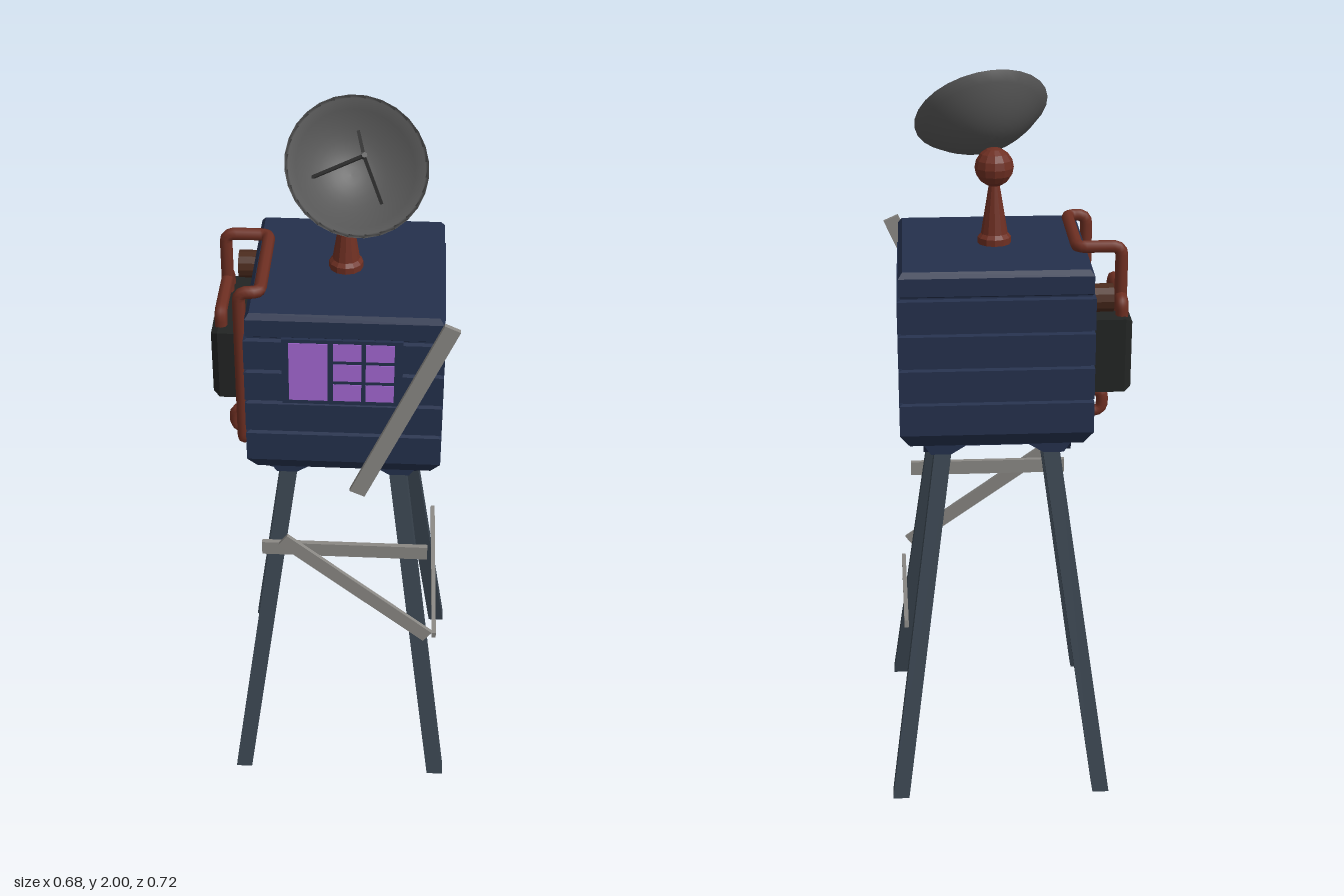
import * as THREE from 'three';

const V = (x, y, z) => new THREE.Vector3(x, y, z);
const mat = (color, flatShading = true, side = THREE.FrontSide) =>
  new THREE.MeshStandardMaterial({ color, flatShading, side });
const navy = mat(0x24304c), steel = mat(0x3a4550), rust = mat(0x6e2f22, false), rustFlat = mat(0x6e2f22);
const black = mat(0x222423), brown = mat(0x4a2a1c), purple = mat(0xa368d2), wood = mat(0x8a8884);
const dishMat = mat(0x565656, false, THREE.DoubleSide), darkGrey = mat(0x3c3c3c), grille = mat(0x85898a);

export function createModel() {
  const root = new THREE.Group();
  const CX = 0.037;

  const add = (name, geo, material, pos = V(0, 0, 0), parent = root) => {
    const m = new THREE.Mesh(geo, material);
    m.name = name;
    m.position.copy(pos);
    parent.add(m);
    return m;
  };
  const group = (name, parent = root) => {
    const g = new THREE.Group();
    g.name = name;
    parent.add(g);
    return g;
  };
  // Square-section solid from a [halfWidth, y] profile
  const squareLathe = (profile, sx = 1, sz = 1) => {
    const pts = profile.map(([r, y]) => new THREE.Vector2(r * Math.SQRT2, y));
    return new THREE.LatheGeometry(pts, 4, Math.PI / 4).scale(sx, 1, sz);
  };
  // Bar of length |b - a| laid from a to b, with w across and t through
  const bar = (name, a, b, w, t, material, parent = root, up = V(0, 0, 1)) => {
    const y = b.clone().sub(a), len = y.length();
    y.normalize();
    const x = y.clone().cross(up).normalize(), z = x.clone().cross(y);
    const m = add(name, new THREE.BoxGeometry(w, len, t), material, a.clone().add(b).multiplyScalar(0.5), parent);
    m.quaternion.setFromRotationMatrix(new THREE.Matrix4().makeBasis(x, y, z));
    return m;
  };
  // Pipe through corner points, with the corners rounded
  const pipe = (name, pts, r, parent) => {
    const path = new THREE.CurvePath();
    let last = pts[0];
    for (let i = 1; i < pts.length - 1; i++) {
      const p = pts[i];
      const cut = (q) => p.clone().add(q.clone().sub(p).setLength(Math.min(0.025, p.distanceTo(q) * 0.45)));
      const a = cut(pts[i - 1]), b = cut(pts[i + 1]);
      path.add(new THREE.LineCurve3(last, a));
      path.add(new THREE.QuadraticBezierCurve3(a, p, b));
      last = b;
    }
    path.add(new THREE.LineCurve3(last, pts[pts.length - 1]));
    add(name, new THREE.TubeGeometry(path, 160, r, 8), rust, V(0, 0, 0), parent);
  };

  // Cabin: four plank rows with grooves, chamfered roof, tapered floor
  const profile = [[0, 1.045], [0.232, 1.045], [0.257, 1.085]];
  for (let i = 0; i < 4; i++) {
    const y = 1.085 + i * 0.096;
    profile.push([0.257, y], [0.257, y + 0.085], [0.247, y + 0.089], [0.247, y + 0.093]);
  }
  profile.push([0.252, 1.47], [0.252, 1.518], [0.241, 1.533], [0, 1.533]);
  add('cabin', squareLathe(profile, 1, 1.025), navy, V(CX, 0, -0.003));

  // Arched skirt panels under the cabin
  const skirt = group('skirt');
  skirt.position.set(CX - 0.004, 0, 0);
  const arch = new THREE.Shape([
    [-0.205, 1.05], [-0.2, 1.03], [-0.18, 1.0], [-0.125, 1.0], [-0.085, 1.025],
    [0.085, 1.025], [0.125, 1.0], [0.18, 1.0], [0.2, 1.03], [0.205, 1.05],
  ].map(([x, y]) => new THREE.Vector2(x, y)));
  for (let i = 0; i < 4; i++) {
    const g = new THREE.ExtrudeGeometry(arch, { depth: 0.03, bevelEnabled: false });
    add('skirtPanel', g.translate(0, 0, 0.17).rotateY(i * Math.PI / 2), navy, V(0, 0, 0), skirt);
  }

  // Splayed legs, sheared so that the feet stay square to the ground
  const legs = group('legs');
  for (const sx of [-1, 1]) for (const sz of [-1, 1]) {
    const g = new THREE.BoxGeometry(0.046, 1.05, 0.046).translate(0, 0.525, 0);
    const p = g.attributes.position;
    for (let i = 0; i < p.count; i++) {
      const y = p.getY(i);
      p.setX(i, p.getX(i) + sx * (0.285 - 0.138 * y) + 0.0325);
      p.setZ(i, p.getZ(i) + sz * (0.337 - 0.182 * y));
    }
    add('leg', g, steel, V(0, 0, 0), legs);
  }

  // Front window: frame, one tall pane and six small ones
  const win = group('window');
  add('windowFrame', new THREE.BoxGeometry(0.31, 0.196, 0.03), navy, V(0.033, 1.371, 0.248), win);
  add('tallPane', new THREE.BoxGeometry(0.1, 0.174, 0.01), purple, V(-0.054, 1.372, 0.26), win);
  for (let c = 0; c < 2; c++) for (let r = 0; r < 3; r++)
    add('smallPane', new THREE.BoxGeometry(0.073, 0.051, 0.01), purple, V(0.046 + c * 0.084, 1.311 + r * 0.0615, 0.26), win);

  // Side unit with a round grille
  const unit = group('sideUnit');
  const box = add('unitCase', squareLathe([[0, 0], [1, 0], [1, 0.095], [0.9, 0.113], [0, 0.113]], 0.102, 0.148), black, V(-0.212, 1.273, -0.048), unit);
  box.rotation.z = Math.PI / 2;
  add('grille', new THREE.CylinderGeometry(0.052, 0.052, 0.012, 16).rotateZ(Math.PI / 2), grille, V(-0.329, 1.275, -0.048), unit);
  for (let i = 0; i < 9; i++) {
    const a = i * Math.PI / 4, r = i < 8 ? 0.032 : 0;
    add('grilleHole', new THREE.CylinderGeometry(0.008, 0.008, 0.003, 8).rotateZ(Math.PI / 2), black,
      V(-0.335, 1.275 + r * Math.sin(a), -0.048 + r * Math.cos(a)), unit);
  }
  add('ventDrum', new THREE.CylinderGeometry(0.038, 0.038, 0.08, 12).rotateZ(Math.PI / 2), brown, V(-0.233, 1.43, -0.173), unit);

  // Pipework over the roof, down the side and under the floor
  const pipes = group('pipes');
  pipe('roofPipe', [
    V(-0.3, 1.35, -0.12), V(-0.3, 1.553, -0.12), V(-0.182, 1.553, -0.12), V(-0.182, 1.553, 0.178),
    V(-0.236, 1.553, 0.178), V(-0.236, 1.085, 0.178), V(-0.236, 1.085, 0.03), V(-0.275, 1.085, 0.03),
    V(-0.275, 1.023, 0.03), V(0.08, 1.023, 0.03), V(0.08, 1.06, 0.03),
  ], 0.017, pipes);
  pipe('unitPipe', [V(-0.3, 1.35, -0.157), V(-0.3, 1.415, -0.157), V(-0.3, 1.415, 0.055), V(-0.3, 1.35, 0.055)], 0.017, pipes);

  // Antenna mast and ball joint
  const mast = [[0, 1.53], [0.045, 1.53], [0.045, 1.55], [0.036, 1.56], [0.013, 1.7], [0, 1.7]];
  add('mast', new THREE.LatheGeometry(mast.map(([r, y]) => new THREE.Vector2(r, y)), 12), rustFlat, V(0.03, 0, 0));
  add('ballJoint', new THREE.SphereGeometry(0.052, 12, 8), rustFlat, V(0.03, 1.74, -0.002));

  // Dish, tilted forward, with a feed on three struts
  const dish = group('dish');
  dish.position.set(0.06, 1.867, 0.082);
  dish.quaternion.setFromUnitVectors(V(0, 1, 0), V(0.2, 0.67, 0.715).normalize());
  const R = 0.182, depth = 0.095, bowl = [];
  for (let i = 0; i <= 8; i++) {
    const r = R * i / 8;
    bowl.push(new THREE.Vector2(r, depth * ((r / R) ** 2 - 1)));
  }
  bowl.push(new THREE.Vector2(R - 0.009, 0.001));
  for (let i = 7; i >= 0; i--) bowl.push(new THREE.Vector2((R - 0.009) * i / 8, (depth - 0.008) * ((i / 8) ** 2 - 1)));
  add('bowl', new THREE.LatheGeometry(bowl, 28), dishMat, V(0, 0, 0), dish);
  const focus = V(0, 0.092, 0);
  for (const deg of [-90, 40, 163]) {
    const a = deg * Math.PI / 180;
    bar('feedStrut', V(0.108 * Math.cos(a), -0.06, 0.108 * Math.sin(a)), focus, 0.008, 0.008, darkGrey, dish, V(0.3, 0.1, 0.8));
  }
  add('feed', new THREE.CylinderGeometry(0.007, 0.007, 0.016, 8), darkGrey, focus, dish);

  // Loose boards nailed over the cabin and legs
  const boards = group('boards');
  bar('cabinBoard', V(0.075, 0.995, 0.275), V(0.31, 1.525, 0.275), 0.044, 0.014, wood, boards);
  bar('levelBoard', V(-0.19, 0.76, 0.236), V(0.27, 0.76, 0.236), 0.042, 0.014, wood, boards);
  bar('diagonalBoard', V(-0.13, 0.8, 0.25), V(0.28, 0.49, 0.285), 0.04, 0.012, wood, boards);
  bar('sideBoard', V(0.299, 0.455, 0.245), V(0.29, 0.515, -0.265), 0.02, 0.012, wood, boards, V(1, 0, 0));

  return root;
}
